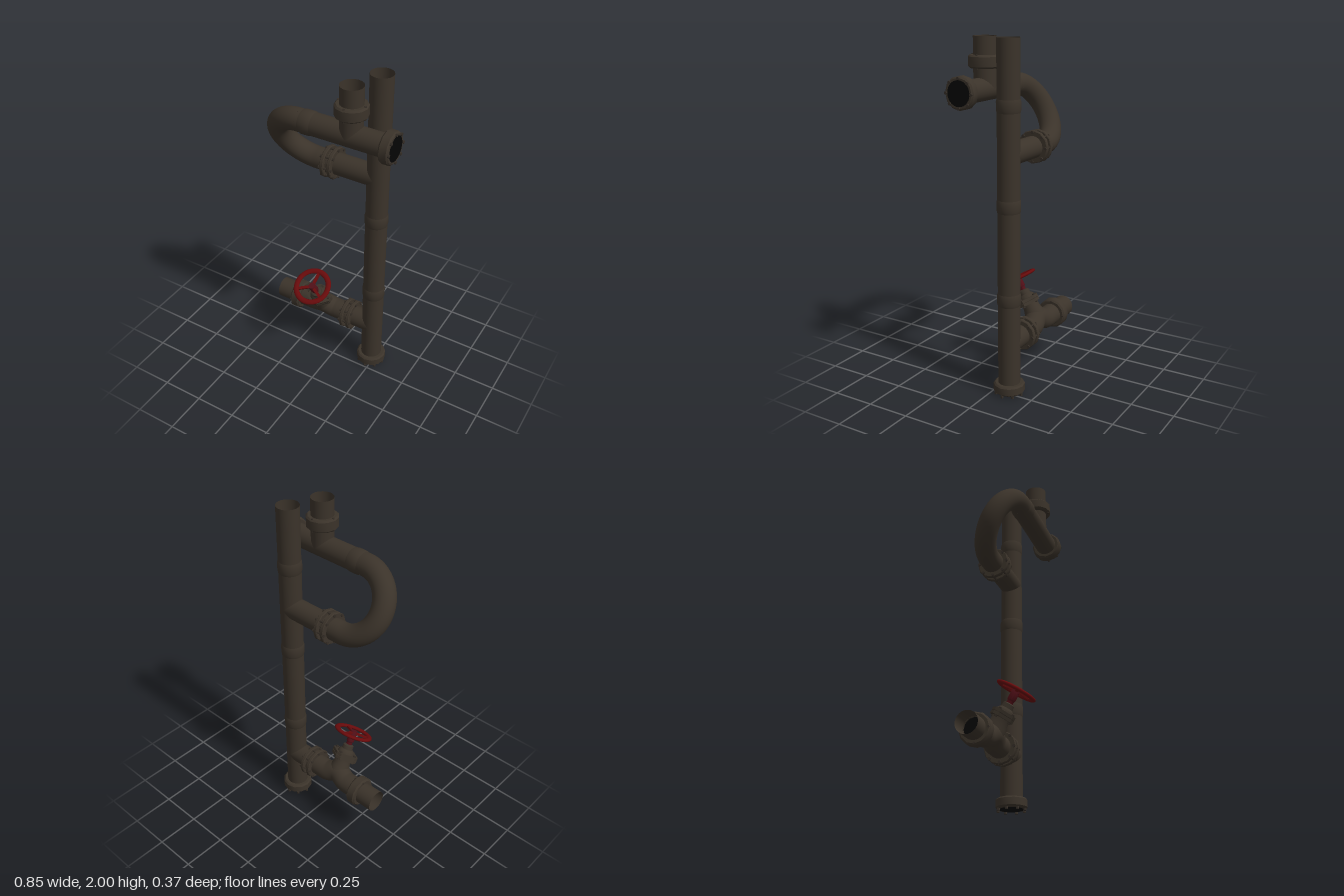
import * as THREE from 'three';
import { toCreasedNormals } from 'three/addons/utils/BufferGeometryUtils.js';

const paint = (name, color, side = THREE.FrontSide) => {
  const m = new THREE.MeshStandardMaterial({ color, side });
  m.name = name;
  return m;
};

export function createModel() {
  const model = new THREE.Group();
  const iron = paint('dark iron', 0x3b332a, THREE.DoubleSide);
  const steel = paint('bolt steel', 0x342d26);
  const red = paint('valve red', 0x690b0c);
  const stemRed = paint('stem red', 0x521018);
  const black = paint('pipe interior black', 0x050505, THREE.DoubleSide);

  const R = 0.063, Z = -0.092;
  const UP = new THREE.Vector3(0, 1, 0);

  function mesh(parent, name, geo, mat, x = 0, y = 0, z = 0) {
    const m = new THREE.Mesh(geo, mat);
    m.name = name;
    m.position.set(x, y, z);
    parent.add(m);
    return m;
  }
  // A group whose local y axis runs along dir from the origin given
  function along(parent, name, origin, dir) {
    const g = new THREE.Group();
    g.name = name;
    g.position.set(...origin);
    g.quaternion.setFromUnitVectors(UP, new THREE.Vector3(...dir).normalize());
    parent.add(g);
    return g;
  }
  const lathe = (pts, n, crease = 0.6) => toCreasedNormals(
    new THREE.LatheGeometry(pts.map(p => new THREE.Vector2(...p)), n), crease);

  // Straight pipe, open at both ends
  const pipe = (g, name, y0, y1) =>
    mesh(g, name, new THREE.CylinderGeometry(R, R, y1 - y0, 28, 1, true), iron, 0, (y0 + y1) / 2, 0);
  // Slightly raised coupling with tapered ends
  const sleeve = (g, y) => mesh(g, 'sleeve', lathe([
    [R, -0.036], [0.067, -0.022], [0.067, 0.022], [R, 0.036]], 28), iron, 0, y, 0);
  // Chamfered ring round a pipe
  const ring = (g, name, y0, y1, r = 0.09, c = 0.009) => mesh(g, name, lathe([
    [R, y0], [r - c, y0], [r, y0 + c], [r, y1 - c], [r - c, y1], [R, y1], [R, y0]], 12), iron);
  const disc = (g, y, r = R) => {
    mesh(g, 'darkInterior', new THREE.CircleGeometry(r, 28), black, 0, y, 0).rotation.x = -Math.PI / 2;
  };
  function bolts(g, count, r, y0, y1, size) {
    for (let i = 0; i < count; i++) {
      const a = i / count * Math.PI * 2;
      mesh(g, 'bolt', toCreasedNormals(new THREE.CylinderGeometry(size, size, y1 - y0, 6), 0.6), steel,
        Math.cos(a) * r, (y0 + y1) / 2, Math.sin(a) * r);
    }
  }
  // Two bolted plates with a gap between
  function coupling(g, y) {
    const c = new THREE.Group();
    c.name = 'boltedCoupling';
    c.position.y = y;
    g.add(c);
    ring(c, 'couplingPlate', -0.034, -0.011, 0.094, 0.004);
    ring(c, 'couplingPlate', 0.011, 0.034, 0.094, 0.004);
    ring(c, 'gasket', -0.011, 0.011, 0.072, 0.001);
    bolts(c, 8, 0.083, -0.034, 0.034, 0.006);
    bolts(c, 8, 0.083, -0.042, -0.034, 0.009);
    bolts(c, 8, 0.083, 0.034, 0.042, 0.009);
  }

  // Upright main pipe
  const main = along(model, 'mainPipe', [0.23, 0, Z], [0, 1, 0]);
  pipe(main, 'uprightPipe', 0.02, 2);
  [0.575, 1.11, 1.65].forEach(y => sleeve(main, y));
  ring(main, 'baseFlange', 0.012, 0.07);
  bolts(main, 8, 0.078, 0, 0.013, 0.009);
  disc(main, 0.01, 0.069);
  disc(main, 1.7);

  // Upper branch up to the bend
  const branch = along(model, 'upperBranch', [0.23, 1.39, Z], [-1, 0, 0]);
  pipe(branch, 'branchPipe', 0, 0.372);
  coupling(branch, 0.286);

  // Tilted U-bend
  const a = new THREE.Vector3(-0.142, 1.39, Z), b = new THREE.Vector3(-0.142, 1.72, 0.095);
  const mid = a.clone().add(b).multiplyScalar(0.5), half = b.clone().sub(mid);
  class Bend extends THREE.Curve {
    getPoint(t, out = new THREE.Vector3()) {
      const k = t * Math.PI;
      out.copy(mid).addScaledVector(half, -Math.cos(k));
      out.x -= Math.sin(k) * half.length();
      return out;
    }
  }
  mesh(model, 'uBend', new THREE.TubeGeometry(new Bend(), 32, R, 28), iron);

  // Upper outlet pipe with end flange
  const outlet = along(model, 'upperOutlet', [-0.142, 1.72, 0.095], [1, 0, 0]);
  pipe(outlet, 'outletPipe', 0, 0.55);
  sleeve(outlet, 0.054);
  ring(outlet, 'endFlange', 0.499, 0.557);
  bolts(outlet, 8, 0.078, 0.555, 0.564, 0.009);
  disc(outlet, 0.558, 0.069);

  // Vertical stub on the outlet
  const stub = along(model, 'topStub', [0.165, 1.72, 0.095], [0, 1, 0]);
  pipe(stub, 'stubPipe', 0, 0.28);
  ring(stub, 'stubFlange', 0.112, 0.182);
  bolts(stub, 4, 0.077, 0.109, 0.185, 0.007);
  disc(stub, 0.1);

  // Lower branch leading to the valve
  const low = along(model, 'lowerBranch', [0.23, 0.31, Z], [-1, 0, 0]);
  pipe(low, 'lowerPipe', 0, 0.235);
  coupling(low, 0.155);
  pipe(low, 'lowerEndPipe', 0.46, 0.655);
  ring(low, 'lowerFlange', 0.492, 0.552);
  bolts(low, 4, 0.077, 0.489, 0.555, 0.007);
  disc(low, 0.54);

  // Valve body, arched between the pipes
  const arch = new THREE.CatmullRomCurve3([
    [0.0, 0.31], [-0.04, 0.312], [-0.11, 0.335], [-0.18, 0.312], [-0.235, 0.31]
  ].map(([x, y]) => new THREE.Vector3(x, y, Z + (y - 0.31) * 0.6)));
  mesh(model, 'valveBody', new THREE.TubeGeometry(arch, 24, R, 28), iron);

  // Valve bonnet, tilted forwards
  const valve = along(model, 'valveTop', [-0.11, 0.31, Z], [0, 0.86, 0.51]);
  mesh(valve, 'valveNeck', lathe([
    [0.062, 0.03], [0.057, 0.075], [0.05, 0.1], [0.05, 0.135]], 24), iron);

  // Diamond-shaped bonnet plates bolted at the four corners
  const diamond = new THREE.Shape([
    [0.084, -0.016], [0.084, 0.016], [0.018, 0.066], [-0.018, 0.066],
    [-0.084, 0.016], [-0.084, -0.016], [-0.018, -0.066], [0.018, -0.066]
  ].map(p => new THREE.Vector2(...p)));
  const plateGeo = new THREE.ExtrudeGeometry(diamond, { depth: 0.017, bevelEnabled: false });
  for (const y of [0.126, 0.146])
    mesh(valve, 'bonnetPlate', plateGeo, iron, 0, y, 0).rotation.x = -Math.PI / 2;
  for (const [x, z] of [[0.07, 0], [-0.07, 0], [0, 0.054], [0, -0.054]])
    mesh(valve, 'bonnetBolt', new THREE.CylinderGeometry(0.009, 0.009, 0.054, 6), steel, x, 0.1445, z);
  mesh(valve, 'bonnet', lathe([
    [0.052, 0.16], [0.047, 0.176], [0.034, 0.188], [0.032, 0.212], [0.02, 0.218], [0, 0.218]], 16), iron);

  // Stem and handwheel
  mesh(valve, 'stem', lathe([
    [0.018, 0.21], [0.018, 0.232], [0.023, 0.24], [0.023, 0.282], [0.015, 0.3], [0, 0.3]], 12), stemRed);
  const wheel = new THREE.Group();
  wheel.name = 'handwheel';
  wheel.position.y = 0.295;
  valve.add(wheel);
  const rim = mesh(wheel, 'wheelRim', new THREE.TorusGeometry(0.101, 0.017, 10, 36), red);
  rim.rotation.x = Math.PI / 2;
  rim.scale.z = 0.6;
  mesh(wheel, 'wheelHub', new THREE.CylinderGeometry(0.02, 0.024, 0.024, 12), stemRed);
  for (let i = 0; i < 3; i++) {
    const spoke = new THREE.Group();
    spoke.name = 'wheelSpoke';
    spoke.rotation.y = i * Math.PI * 2 / 3;
    wheel.add(spoke);
    mesh(spoke, 'spokeBar', new THREE.BoxGeometry(0.017, 0.012, 0.1), red, 0, 0, -0.052);
  }
  return model;
}
